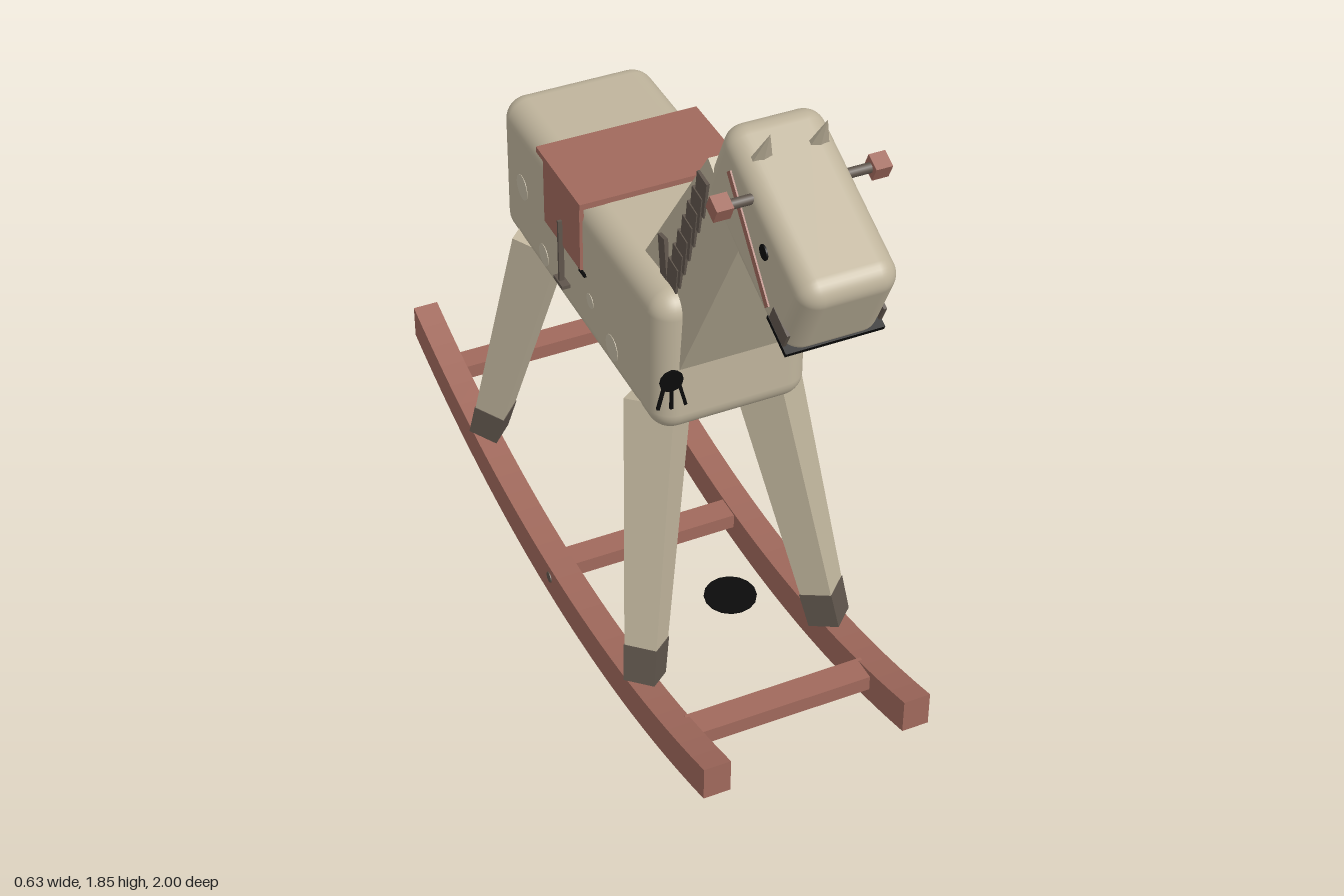
import * as THREE from 'three';
import { RoundedBoxGeometry } from 'three/addons/geometries/RoundedBoxGeometry.js';

const mat = (name, color) => {
  const m = new THREE.MeshStandardMaterial({ color });
  m.name = name;
  return m;
};
const V = (x, y, z) => new THREE.Vector3(x, y, z);
const lerp = THREE.MathUtils.lerp;

export function createModel() {
  const wood = mat('pale wood', 0xbfb49c);
  const red = mat('red wood', 0xa0695c);
  const dark = mat('dark brown', 0x5f554c);
  const black = mat('black', 0x0b0b0b);
  const pale = mat('pale spot', 0xc6bca6);

  const model = new THREE.Group();
  model.name = 'rockingHorse';

  const add = (name, geo, material, pos = [0, 0, 0], parent = model) => {
    const mesh = new THREE.Mesh(geo, material);
    mesh.name = name;
    mesh.position.set(...pos);
    parent.add(mesh);
    return mesh;
  };
  const box = (name, size, material, pos, parent) =>
    add(name, new THREE.BoxGeometry(...size), material, pos, parent);
  const faceted = (geo) => {
    const g = geo.toNonIndexed();
    g.computeVertexNormals();
    return g;
  };
  // Places a y-aligned geometry so that it runs from a (bottom) to b (top)
  const between = (name, geo, material, a, b) => {
    const mid = a.clone().lerp(b, 0.5);
    const mesh = add(name, geo, material, mid.toArray());
    mesh.quaternion.setFromUnitVectors(V(0, 1, 0), b.clone().sub(a).normalize());
    return mesh;
  };

  // Body
  add('body', new RoundedBoxGeometry(0.4, 0.4, 0.97, 5, 0.06), wood, [0, 1.05, -0.03]);

  // Neck: a box whose corners are moved into a leaning wedge
  const neckGeo = new THREE.BoxGeometry(1, 1, 1);
  const p = neckGeo.attributes.position;
  for (let i = 0; i < p.count; i++) {
    const top = p.getY(i) > 0, front = p.getZ(i) > 0;
    const [z, y] = top ? (front ? [0.7, 1.56] : [0.53, 1.68]) : (front ? [0.458, 1.05] : [0.17, 1.13]);
    p.setXYZ(i, Math.sign(p.getX(i)) * (top ? 0.115 : 0.145), y, z);
  }
  neckGeo.computeVertexNormals();
  add('neck', neckGeo, wood);

  // Head and everything fixed to it, tilted nose down
  const head = new THREE.Group();
  head.name = 'head';
  head.position.set(0, 1.607, 0.7525);
  head.rotation.x = 0.436;
  model.add(head);
  add('skull', new RoundedBoxGeometry(0.234, 0.255, 0.464, 5, 0.05), wood, [0, 0, 0], head);
  box('mouth', [0.237, 0.012, 0.1], black, [0, -0.092, 0.186], head);
  const handle = add('handleBar', new THREE.CylinderGeometry(0.012, 0.012, 0.36, 10), dark, [0, 0.087, -0.053], head);
  handle.rotation.z = Math.PI / 2;
  for (const s of [-1, 1]) {
    const ear = add('ear', faceted(new THREE.ConeGeometry(0.03, 0.1, 6)), wood, [s * 0.067, 0.16, -0.125], head);
    ear.scale.z = 0.45;
    const eye = add('eye', new THREE.CylinderGeometry(0.018, 0.018, 0.008, 16), black, [s * 0.117, 0.038, 0.051], head);
    eye.rotation.z = Math.PI / 2;
    box('handleGrip', [0.04, 0.042, 0.042], red, [s * 0.187, 0.087, -0.053], head);
    box('nostrilPatch', [0.008, 0.045, 0.075], dark, [s * 0.1145, -0.062, 0.18], head);
    const strap = box('bridleStrap', [0.008, 0.02, 0.3], red, [s * 0.117, -0.007, -0.01], head);
    strap.rotation.x = 0.42;
  }

  // Mane: stepped locks on the neck sides and small thorns down its back
  for (const s of [-1, 1]) {
    for (let i = 0; i < 7; i++) {
      const t = i / 6;
      const lock = box('maneLock', [0.012, 0.1, 0.05], dark,
        [s * lerp(0.119, 0.135, t), lerp(1.575, 1.27, t), lerp(0.513, 0.4, t)]);
      lock.rotation.x = 0.14;
    }
    const low = box('maneLock', [0.012, 0.12, 0.035], dark, [s * 0.136, 1.295, 0.352]);
    low.rotation.x = -0.14;
  }
  for (let i = 0; i < 7; i++) {
    const t = i / 6;
    const thorn = add('maneThorn', faceted(new THREE.OctahedronGeometry(1)), dark,
      [0, lerp(1.625, 1.275, t), lerp(0.492, 0.265, t)]);
    thorn.scale.set(0.045, 0.011, 0.026);
  }

  // Legs with hooves, four-sided and splayed
  for (const s of [-1, 1]) {
    for (const [zTop, zFoot] of [[0.325, 0.5], [-0.38, -0.545]]) {
      const top = V(s * 0.14, 0.88, zTop), foot = V(s * 0.255, 0.15, zFoot);
      const ankle = foot.clone().lerp(top, 0.125);
      between('leg', faceted(new THREE.CylinderGeometry(0.09, 0.055, foot.distanceTo(top), 4)), wood, foot, top);
      const sole = foot.clone().lerp(top, -0.005);
      between('hoof', faceted(new THREE.CylinderGeometry(0.062, 0.058, sole.distanceTo(ankle), 4)), dark, sole, ankle);
    }
  }

  // Rockers: an arc of constant height with upright ends
  const R = 3.02, half = 0.97, steps = 28;
  const arc = (z) => R - Math.sqrt(R * R - z * z);
  const outline = [];
  for (let i = 0; i <= steps; i++) {
    const z = lerp(-half, half, i / steps);
    outline.push(new THREE.Vector2(z, arc(z)));
  }
  for (let i = steps; i >= 0; i--) outline.push(new THREE.Vector2(outline[i].x, outline[i].y + 0.096));
  const rockerGeo = new THREE.ExtrudeGeometry(new THREE.Shape(outline), { depth: 0.07, bevelEnabled: false });
  rockerGeo.translate(0, 0, -0.035).rotateY(-Math.PI / 2);
  for (const s of [-1, 1]) {
    add('rocker', rockerGeo, red, [s * 0.265, 0, -0.03]);
    const peg = add('peg', new THREE.CylinderGeometry(0.015, 0.015, 0.01, 8), dark, [s * 0.298, 0.062, -0.01]);
    peg.rotation.z = Math.PI / 2;
  }
  for (const [y, z] of [[0.167, 0.735], [0.07, -0.035], [0.167, -0.805]])
    box('crossbar', [0.48, 0.042, 0.07], red, [0, y, z]);

  // Saddle, flaps and stirrups
  box('saddle', [0.43, 0.016, 0.27], red, [0, 1.257, -0.095]);
  for (const s of [-1, 1]) {
    box('saddleFlap', [0.012, 0.195, 0.225], red, [s * 0.202, 1.155, -0.093]);
    box('stirrupStrap', [0.014, 0.185, 0.008], dark, [s * 0.212, 1.04, -0.093]);
    box('stirrup', [0.022, 0.01, 0.055], dark, [s * 0.211, 0.948, -0.093]);
    box('buckle', [0.012, 0.008, 0.035], black, [s * 0.2, 1.05, 0.02]);
    // Faint coat spots
    for (const [z, y, r] of [[0.19, 0.94, 0.035], [0.06, 0.99, 0.02], [-0.235, 0.93, 0.03], [-0.37, 1.05, 0.035]]) {
      const spot = add('coatSpot', new THREE.CylinderGeometry(r, r, 0.006, 14), pale, [s * 0.1985, y, z]);
      spot.rotation.z = Math.PI / 2;
    }
  }

  // Tail: five flat strands fanning out
  const tips = [[-0.062, 0.755, -0.705], [-0.032, 0.785, -0.725], [0, 0.845, -0.755], [0.028, 0.8, -0.735], [0.058, 0.82, -0.745]];
  tips.forEach(([x, y, z], i) => {
    const root = V((i - 2) * 0.008, 1.185, -0.508), tip = V(x, y, z);
    between('tailStrand', new THREE.BoxGeometry(0.034, root.distanceTo(tip), 0.006), dark, tip, root);
  });

  // Ink splash on the chest, with drips, and a puddle on the floor
  const splash = add('chestSplash', new THREE.CylinderGeometry(0.03, 0.03, 0.006, 12), black, [-0.165, 1.022, 0.455]);
  splash.rotation.x = Math.PI / 2;
  [[-0.026, 0.07, -0.25], [0, 0.085, 0], [0.026, 0.085, 0.25]].forEach(([x, len, tilt]) => {
    const drip = box('drip', [0.008, len, 0.006], black, [-0.165 + x, 0.982, 0.455]);
    drip.rotation.z = tilt;
  });
  const puddle = new THREE.CylinderGeometry(0.07, 0.07, 0.004, 16);
  add('puddle', puddle, black, [0.13, 0.002, 0.19]);

  return model;
}
